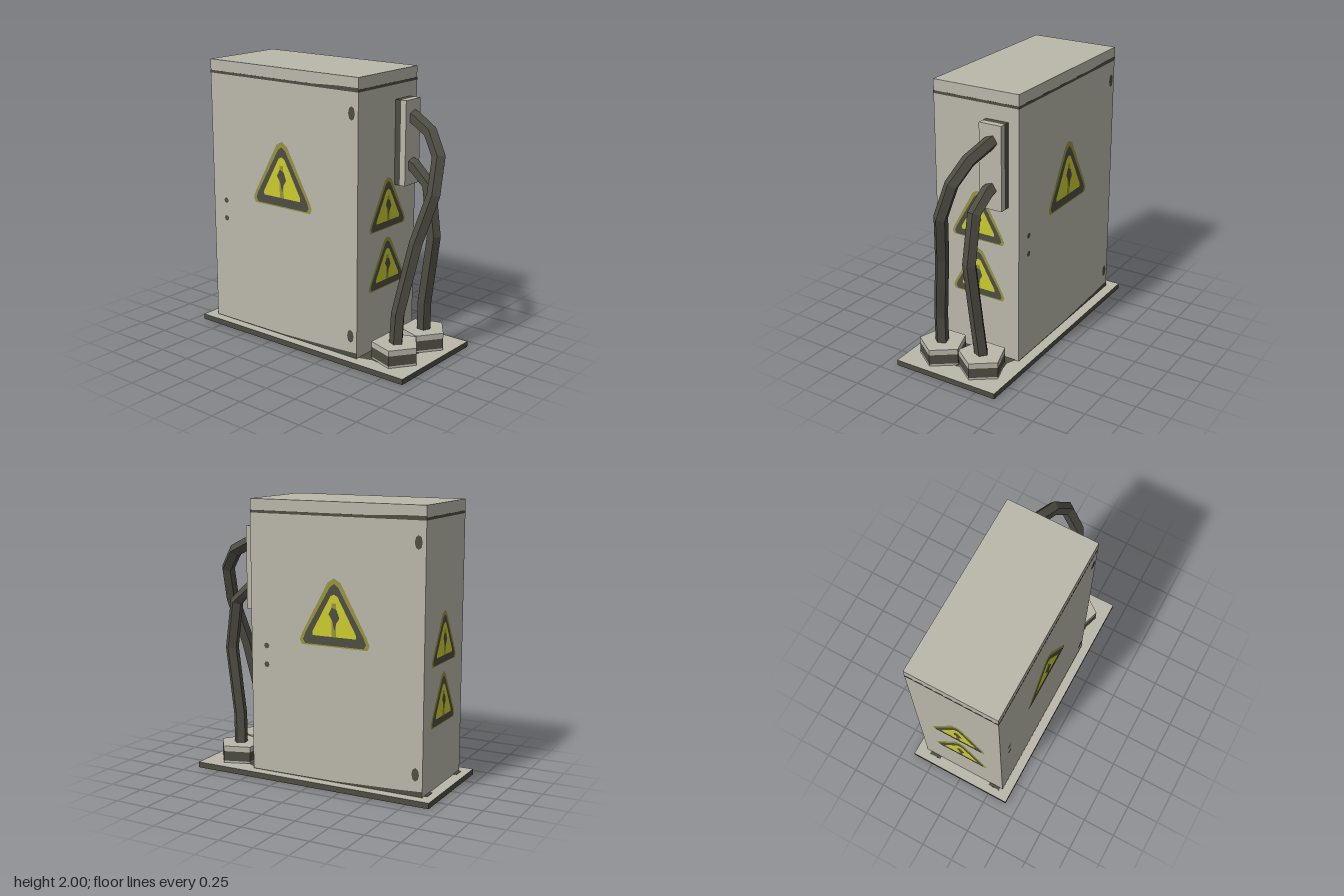
import * as THREE from 'three';

const mat = (name, color) => {
  const m = new THREE.MeshStandardMaterial({ color });
  m.name = name;
  m.flatShading = true;
  return m;
};

// Straight-segment path sampled exactly at its corners
class Polyline extends THREE.Curve {
  constructor(points) { super(); this.points = points.map(p => new THREE.Vector3(...p)); }
  getPoint(t, target = new THREE.Vector3()) {
    const n = this.points.length - 1;
    const i = Math.min(Math.floor(t * n), n - 1);
    return target.lerpVectors(this.points[i], this.points[i + 1], t * n - i);
  }
  getPointAt(u, target) { return this.getPoint(u, target); }
  getTangentAt(u, target) { return this.getTangent(u, target); }
}

export function createModel() {
  const root = new THREE.Group();
  root.name = 'electricalCabinet';
  const light = mat('paleGreyPaint', 0xbab7aa);
  const dark = mat('darkGrey', 0x4e4d43);
  const yellow = mat('warningYellow', 0xcccb2e);
  const olive = mat('fadedOlive', 0x96943f);

  const add = (parent, name, geo, material, x = 0, y = 0, z = 0) => {
    const m = new THREE.Mesh(geo, material);
    m.name = name;
    m.position.set(x, y, z);
    parent.add(m);
    return m;
  };
  // Box given by its extents
  const box = (name, x0, x1, y0, y1, z0, z1, material) =>
    add(root, name, new THREE.BoxGeometry(x1 - x0, y1 - y0, z1 - z0), material,
      (x0 + x1) / 2, (y0 + y1) / 2, (z0 + z1) / 2);
  const flat = pts => new THREE.ShapeGeometry(new THREE.Shape(pts.map(p => new THREE.Vector2(...p))));

  // Base plate: pale top, dark edges and underside
  box('basePlate', -0.405, 0.405, 0.004, 0.045, -0.925, 0.925, [dark, dark, light, dark, dark, dark]);
  box('cabinetUnderside', -0.335, 0.33, 0, 0.02, -0.845, 0.49, light);
  const shade = add(root, 'basePaint', flat([
    [-0.32, -0.49], [-0.29, -0.6], [-0.3, -0.64], [-0.2, -0.68], [0, -0.78],
    [0.2, -0.68], [0.29, -0.64], [0.28, -0.56], [0.31, -0.49],
  ].reverse()), dark, 0, 0.048, 0);
  shade.rotation.x = -Math.PI / 2;
  for (const x of [-0.27, 0.25]) box('rearBaseMark', x - 0.045, x + 0.045, 0.045, 0.048, -0.868, -0.845, dark);

  // Cabinet with a seam below its lid
  box('cabinetBody', -0.335, 0.33, 0.045, 1.902, -0.845, 0.49, light);
  box('lidSeam', -0.336, 0.331, 1.902, 1.921, -0.846, 0.491, dark);
  box('lid', -0.335, 0.33, 1.921, 2, -0.845, 0.49, light);

  // Details on the two long sides, the second turned half round
  for (const s of [1, -1]) {
    const side = new THREE.Group();
    side.name = s > 0 ? 'leftSideDetails' : 'rightSideDetails';
    side.position.set(s > 0 ? 0.332 : -0.337, 0, -0.178);
    side.rotation.y = s * Math.PI / 2;
    root.add(side);
    for (const y of [0.2, 1.76]) {
      add(side, 'hinge', new THREE.CircleGeometry(0.028, 8), dark, 0.615, y, 0.001).scale.y = 1.7;
    }
    for (const y of [0.835, 0.97]) {
      add(side, 'lockHole', new THREE.CircleGeometry(0.021, 8), dark, -0.543, y, 0.001);
    }
    add(side, 'bottomWear', flat([[-0.667, 0.046], [0.667, 0.046], [0.667, 0.085], [0.5, 0.075], [0, 0.054], [-0.667, 0.05]]), dark);
    add(side, 'seamWear', flat([[0.2, 1.918], [0.667, 1.918], [0.667, 1.931], [0.5, 1.931]]), dark);
  }

  // Triangular warning signs, unit size: half width 0.5, height 1
  const layers = [
    ['signBorder', olive, [[-0.47, 0], [0.47, 0], [0.5, 0.07], [0.46, 0.18], [0.09, 0.94], [0, 1], [-0.09, 0.94], [-0.46, 0.18], [-0.5, 0.07]]],
    ['signFrame', dark, [[-0.42, 0.02], [0.42, 0.02], [0.45, 0.08], [0.42, 0.17], [0.06, 0.87], [0, 0.92], [-0.06, 0.87], [-0.42, 0.17], [-0.45, 0.08]]],
    ['signField', yellow, [[-0.31, 0.15], [0.31, 0.15], [0.31, 0.21], [0.05, 0.74], [0, 0.77], [-0.05, 0.74], [-0.31, 0.21]]],
    ['signStem', olive, [[-0.035, 0.15], [0.035, 0.15], [0.03, 0.64], [-0.03, 0.64]]],
    ['signBolt', dark, [[0.01, 0.24], [0.035, 0.35], [0.08, 0.43], [0.04, 0.55], [-0.03, 0.58], [-0.075, 0.48], [-0.02, 0.38]]],
  ];
  const sign = (x, y, z, turn, width, height) => {
    const g = new THREE.Group();
    g.name = 'warningSign';
    layers.forEach(([name, material, pts], i) => add(g, name, flat(pts), material, 0, 0, 0.0015 * (i + 1)));
    g.scale.set(width, height, 1);
    g.position.set(x, y, z);
    g.rotation.y = turn;
    root.add(g);
  };
  sign(0.33, 1.01, -0.175, Math.PI / 2, 0.54, 0.475);
  sign(-0.335, 1.01, -0.175, -Math.PI / 2, 0.54, 0.475);
  for (const y of [0.91, 0.485]) {
    sign(0.005, y, 0.49, 0, 0.42, 0.365);
    sign(0, y, -0.845, Math.PI, 0.42, 0.365);
  }

  // Junction box on the front
  box('junctionBoxBack', 0.08, 0.25, 1.205, 1.8, 0.49, 0.535, dark);
  box('junctionBoxCover', 0.08, 0.25, 1.205, 1.8, 0.535, 0.577, light);

  // Five-sided cable glands in stacked bands
  for (const x of [-0.165, 0.165]) {
    for (const [name, y0, y1, material] of [
      ['glandUnderside', 0, 0.045, dark], ['glandFoot', 0.045, 0.06, light],
      ['glandBand', 0.06, 0.132, dark], ['glandTop', 0.132, 0.172, light],
    ]) {
      add(root, name, new THREE.CylinderGeometry(0.17, 0.17, y1 - y0, 5), material, x, (y0 + y1) / 2, 0.702);
    }
  }

  // Cables from the junction box down to the glands
  const cable = (name, pts) => add(root, name,
    new THREE.TubeGeometry(new Polyline(pts), pts.length - 1, 0.05, 5, false), dark);
  cable('longCable', [
    [0.175, 1.685, 0.55], [0.165, 1.67, 0.6], [0.12, 1.6, 0.755], [0.06, 1.46, 0.865],
    [-0.02, 1.22, 0.885], [-0.085, 0.88, 0.795], [-0.165, 0.38, 0.715], [-0.17, 0.15, 0.705],
  ]);
  cable('shortCable', [
    [0.165, 1.355, 0.55], [0.16, 1.34, 0.6], [0.145, 1.23, 0.735],
    [0.135, 0.88, 0.79], [0.145, 0.38, 0.72], [0.165, 0.15, 0.705],
  ]);

  return root;
}
